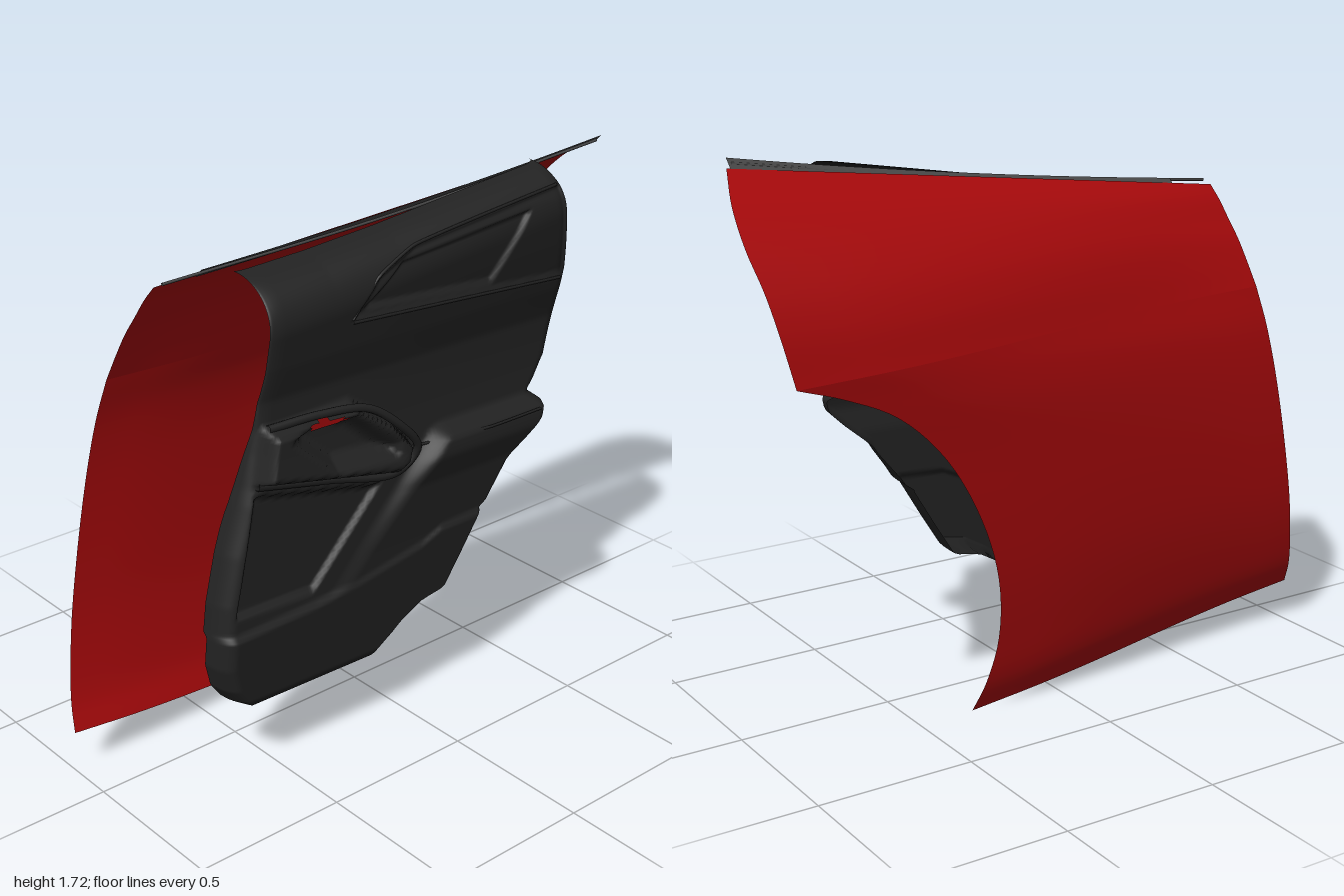
import * as THREE from 'three';

const { smoothstep, lerp } = THREE.MathUtils;
const V = (x, y, z) => new THREE.Vector3(x, y, z);

// Grid surface from fn(u, v); cells whose centre satisfies skip are left open
function surface(nu, nv, fn, skip) {
  const pos = [], index = [];
  for (let j = 0; j <= nv; j++)
    for (let i = 0; i <= nu; i++) pos.push(...fn(i / nu, j / nv).toArray());
  for (let j = 0; j < nv; j++)
    for (let i = 0; i < nu; i++) {
      if (skip && skip(fn((i + 0.5) / nu, (j + 0.5) / nv))) continue;
      const a = j * (nu + 1) + i, b = a + 1, c = a + nu + 1, d = c + 1;
      index.push(a, b, d, a, d, c);
    }
  const g = new THREE.BufferGeometry();
  g.setAttribute('position', new THREE.Float32BufferAttribute(pos, 3));
  g.setIndex(index);
  g.computeVertexNormals();
  return g;
}

// Linear lookup in a list of [key, value]
function table(list, k) {
  if (k <= list[0][0]) return list[0][1];
  for (let i = 1; i < list.length; i++) {
    const [a, p] = list[i - 1], [b, q] = list[i];
    if (k <= b) return lerp(p, q, (k - a) / (b - a));
  }
  return list[list.length - 1][1];
}

// Signed depth of (z, y) inside a convex polygon
function inside(poly, z, y) {
  let area = 0, min = Infinity;
  const edges = poly.map((p, i) => [p, poly[(i + 1) % poly.length]]);
  for (const [p, q] of edges) area += p[0] * q[1] - q[0] * p[1];
  for (const [p, q] of edges) {
    const dz = q[0] - p[0], dy = q[1] - p[1];
    min = Math.min(min, Math.sign(area) * (dz * (y - p[1]) - dy * (z - p[0])) / Math.hypot(dz, dy));
  }
  return min;
}
const dent = (poly, z, y, w = 0.015) => smoothstep(inside(poly, z, y), 0, w);

// Trim outline: front and rear edge by height, top edge by depth
const FRONT = [[0.215, 0.45], [0.222, 0.54], [0.24, 0.61], [0.27, 0.655], [0.32, 0.69], [0.4, 0.71], [0.5, 0.705],
  [0.6, 0.69], [0.75, 0.65], [0.95, 0.58], [1.12, 0.53], [1.3, 0.5], [1.47, 0.485], [1.6, 0.475]];
const REAR = [[0.215, 0.25], [0.24, 0.12], [0.34, -0.02], [0.385, -0.1], [0.4, -0.19], [0.5, -0.25], [0.64, -0.33],
  [0.66, -0.36], [0.78, -0.43], [0.84, -0.5], [0.9, -0.56], [0.94, -0.57], [0.965, -0.545], [1.07, -0.62],
  [1.2, -0.66], [1.33, -0.665], [1.45, -0.645], [1.55, -0.63], [1.6, -0.61]];
const TOP = [[-0.61, 1.693], [0, 1.602], [0.25, 1.57], [0.47, 1.55]];
// How far the rear edge turns in, by height
const REAR_TURN = [[0.31, 0.06], [0.35, 0.17], [0.68, 0.165], [0.75, 0.1], [0.94, 0.08], [1, 0.03]];

// Trim relief
const BASE = [[0.2, 0.23], [0.5, 0.235], [0.9, 0.22], [1.05, 0.2], [1.2, 0.188], [1.3, 0.205], [1.4, 0.215], [1.6, 0.235]];
const ARM = [[0.5, 0.01], [0.62, 0.015], [0.8, 0.035], [0.88, 0.06], [0.935, 0.06], [0.965, 0]];
const POCKET = [[-0.34, 0.645], [-0.13, 0.635], [-0.05, 0.6], [0.2, 0.55], [0.36, 0.53], [0.7, 0.51]];
const INSERT = [[0.21, 1.385], [0.1, 1.5], [-0.05, 1.56], [-0.62, 1.645], [-0.66, 1.335]];
const INSERT_CORE = [[0.17, 1.405], [0, 1.525], [-0.5, 1.59], [-0.35, 1.375]];
const FRONT_PAD = [[0.56, 0.935], [0.655, 0.56], [0.36, 0.555], [0.09, 0.835]];
const BEZEL = [[0.52, 1.13], [0.2, 1.14], [0.06, 1.05], [-0.02, 0.95], [0, 0.89], [0.06, 0.86], [0.56, 0.96]];
const BOWL = [[0.47, 1.09], [0.36, 1.125], [0.2, 1.11], [0.05, 0.98], [0.04, 0.92], [0.3, 0.94]];

// Quarter-round falloff: 1 at the edge, 0 beyond distance w
const roll = (d, w) => d >= w ? 0 : 1 - Math.sqrt(Math.max(0, 1 - (1 - d / w) ** 2));

function faceX(z, y) {
  const r = (0.5 - z) / 1.1;
  let x = table(BASE, y) + lerp(0.03, 0.055, smoothstep(y, 1.1, 1.5)) * r;
  x -= 0.012 * dent(INSERT, z, y) + 0.016 * dent(INSERT_CORE, z, y) + 0.02 * dent(FRONT_PAD, z, y);
  x += table(ARM, y) * smoothstep(0.3 - z - (y - 0.54) * 0.94, 0, 0.08) * (1 - dent(BEZEL, z, y, 0.03));
  x += 0.06 * dent(BEZEL, z, y, 0.03) - 0.065 * dent(BOWL, z, y, 0.05);
  x = lerp(x, 0.246 + 0.03 * r + 0.06 * (y - 0.4), smoothstep(table(POCKET, z) - y, 0, 0.018));
  return x - roll(table(TOP, z) - y, 0.16) * lerp(0.14, 0.195, (z + 0.61) / 1.08);
}

function trimPoint(u, v) {
  const ease = t => lerp(t, 0.5 - 0.5 * Math.cos(Math.PI * t), 0.6);
  const L = lerp(0.215, 1.6, ease(v));
  const zf = table(FRONT, L), zr = table(REAR, L), z = lerp(zf, zr, ease(u));
  const y = L < 1.2 ? L : 1.2 + (L - 1.2) / 0.4 * (table(TOP, z) - 1.2);
  const low = 1 - smoothstep(y, 0.8, 1.25);
  const x = faceX(z, y) - Math.max(
    roll(zf - z, 0.05) * lerp(0.01, 0.095, low),
    roll(z - zr, 0.045) * table(REAR_TURN, y),
    roll(y - 0.215, 0.06) * 0.105);
  return V(x, y, z);
}

// Outer skin: paired front and rear edges, lower half then upper half
const frontEdge = list => list.map(([x, y]) => V(x, y, 1 - 0.214 * (y - 0.14)));
const SKIN = [
  ['lowerOuterSkin', 1,
    frontEdge([[-0.14, 0.14], [-0.178, 0.22], [-0.207, 0.33], [-0.232, 0.48], [-0.245, 0.65], [-0.25, 0.82],
      [-0.247, 0.97], [-0.235, 1.1], [-0.21, 1.22]]),
    [V(-0.2, 0, -0.31), V(-0.235, 0.1, -0.28), V(-0.26, 0.25, -0.25), V(-0.285, 0.45, -0.265), V(-0.3, 0.66, -0.335),
      V(-0.31, 0.87, -0.46), V(-0.32, 1.02, -0.62), V(-0.325, 1.1, -0.79), V(-0.33, 1.15, -0.94)]],
  ['upperOuterSkin', 0,
    frontEdge([[-0.21, 1.22], [-0.18, 1.3], [-0.15, 1.37], [-0.115, 1.43], [-0.08, 1.49], [-0.045, 1.535]]),
    [V(-0.33, 1.15, -0.94), V(-0.298, 1.3, -0.97), V(-0.25, 1.41, -0.987), V(-0.17, 1.515, -1),
      V(-0.05, 1.61, -0.98), V(0.13, 1.695, -0.912)]],
];

export function createModel() {
  const door = new THREE.Group();
  door.name = 'carDoor';
  const material = (name, color) => {
    const m = new THREE.MeshStandardMaterial({ color, side: THREE.DoubleSide });
    m.name = name;
    return m;
  };
  const red = material('red paint', 0xa8090b);
  const dark = material('dark trim', 0x222222);
  const grey = material('grey seal', 0x484848);
  const add = (name, geometry, mat) => {
    const mesh = new THREE.Mesh(geometry, mat);
    mesh.name = name;
    door.add(mesh);
  };

  // Painted skin, waisted along the middle and straight along the top
  for (const [name, waistAtTop, front, rear] of SKIN) {
    const f = new THREE.CatmullRomCurve3(front), r = new THREE.CatmullRomCurve3(rear);
    add(name, surface(40, 40, (u, v) => {
      const a = f.getPoint(v), b = r.getPoint(v), p = a.clone().lerp(b, u);
      p.x = lerp(a.x, b.x, lerp(u, smoothstep(u, 0.1, 0.88), lerp(1, waistAtTop, v)));
      return p;
    }), red);
  }

  // Window seal along the top edge, with a thin rod under it
  const sealPath = new THREE.LineCurve3(V(-0.027, 1.548, 0.56), V(0.142, 1.707, -0.9));
  add('windowSeal', surface(24, 1, (u, v) => {
    const p = sealPath.getPoint(u);
    p.y -= 0.05 * u * (1 - u);
    return p.add(V(0.03 * (v - 0.5), 0.03 * (v - 0.5), 0));
  }), grey);
  add('sealRod', new THREE.TubeGeometry(
    new THREE.CatmullRomCurve3([V(-0.02, 1.548, 0.69), V(0.06, 1.605, -0.1), V(0.145, 1.705, -0.89)]), 20, 0.005, 6), grey);

  // Interior trim with the handle opening
  const opening = p => ((p.z - 0.305) / 0.075) ** 2 + ((p.y - 1.093 - 0.1 * (p.z - 0.305)) / 0.024) ** 2 < 1;
  add('trimPanel', surface(150, 170, trimPoint, opening), dark);

  // Grab handle rim
  const rim = [[0.5, 1.125, 0.005], [0.33, 1.132, 0.03], [0.17, 1.115, 0.05], [0.06, 1.035, 0.055], [-0.01, 0.95, 0.045],
    [0, 0.9, 0.03], [0.07, 0.872, 0.015], [0.3, 0.912, 0.005], [0.55, 0.96, 0]];
  add('grabHandleRim', new THREE.TubeGeometry(
    new THREE.CatmullRomCurve3(rim.map(([z, y, lift]) => V(faceX(z, y) + lift, y, z))), 80, 0.013, 8), dark);

  // Narrow beads following the trim face
  const bead = (name, points) => add(name, new THREE.TubeGeometry(
    new THREE.CatmullRomCurve3(points.map(([z, y]) => V(faceX(z, y), y, z)), false, 'catmullrom', 0.2), 60, 0.005, 6), dark);
  bead('insertLowerBead', [[0.2, 1.382], [-0.2, 1.36], [-0.63, 1.335]]);
  bead('insertUpperBead', [[0.2, 1.39], [0.1, 1.5], [-0.05, 1.56], [-0.3, 1.6], [-0.6, 1.642]]);
  bead('armrestSeam', [[-0.03, 0.92], [-0.3, 0.93], [-0.52, 0.932]]);

  return door;
}
